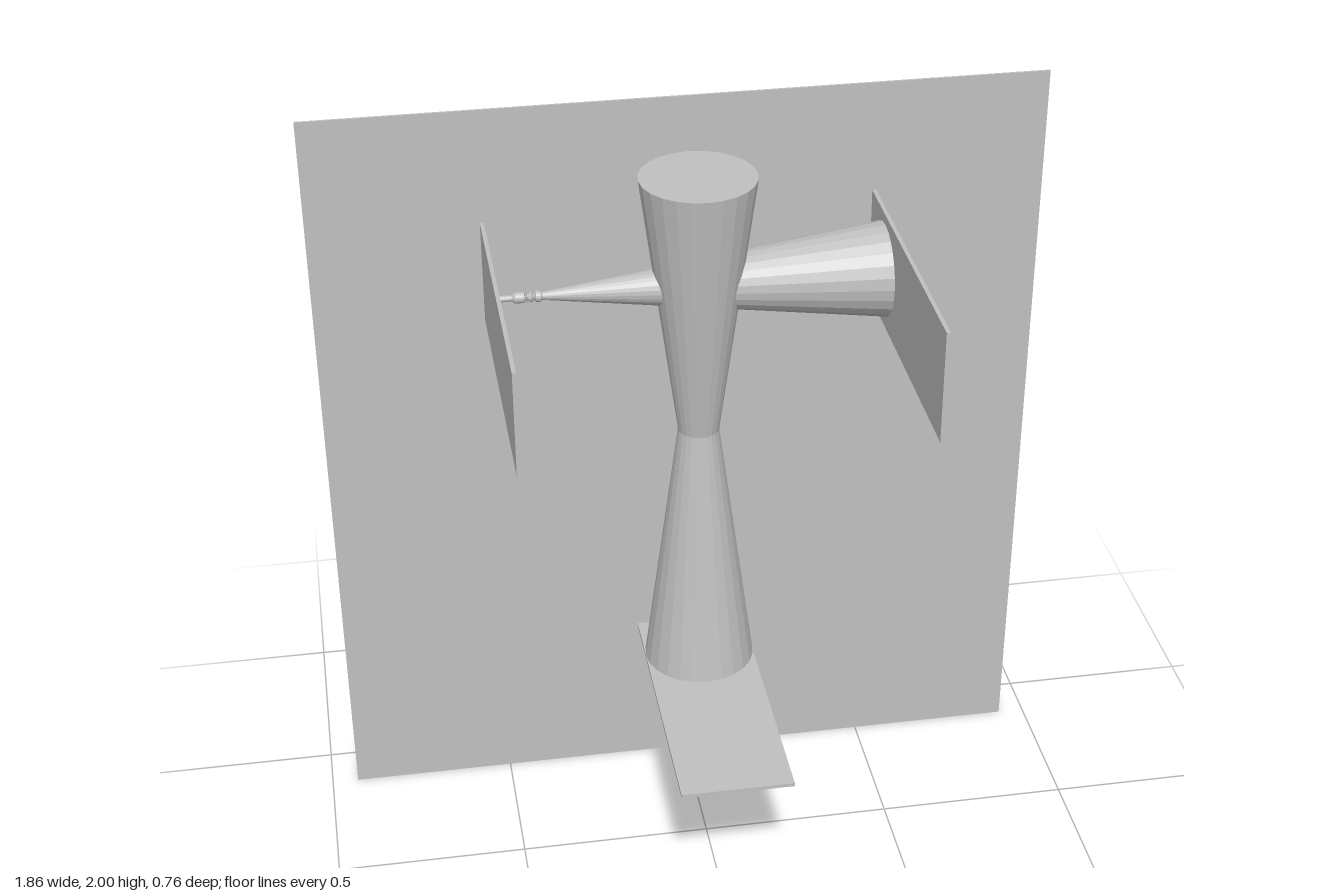
import * as THREE from 'three';

const SIDES = 24;

export function createModel() {
  const group = new THREE.Group();
  const grey = new THREE.MeshStandardMaterial({ color: 0xc0c0c0 });

  const add = (name, geometry, x, y, z) => {
    const mesh = new THREE.Mesh(geometry, grey);
    mesh.name = name;
    mesh.position.set(x, y, z);
    group.add(mesh);
    return mesh;
  };
  const plate = (name, w, h, d, x, y, z) => add(name, new THREE.BoxGeometry(w, h, d), x, y, z);

  // Faceted solid of revolution from [radius, height] pairs
  const turned = (points) => {
    const profile = points.map(([r, h]) => new THREE.Vector2(r, h));
    const geometry = new THREE.LatheGeometry(profile, SIDES).toNonIndexed();
    geometry.computeVertexNormals();
    return geometry;
  };

  // Thin plates: wall, shelf and two upright sides
  plate('backWall', 1.86, 2, 0.006, 0, 1, -0.377);
  plate('shelf', 0.29, 0.01, 0.755, 0.017, 0.44, 0.0025);
  plate('rightPlate', 0.01, 0.27, 0.755, -0.497, 1.565, 0.0025);
  plate('leftPlate', 0.01, 0.29, 0.755, 0.493, 1.565, 0.0025);

  // Hourglass column standing on the shelf
  add('hourglassColumn', turned([
    [0, 0.437], [0.147, 0.437], [0.053, 1.15], [0.147, 1.855], [0, 1.855],
  ]), 0.018, 0, -0.223);

  // Horizontal cone passing through the column
  const cone = add('crossCone', turned([
    [0, -0.385], [0.008, -0.385], [0.121, 0.49], [0, 0.49],
  ]), 0, 1.565, -0.225);
  cone.rotation.z = -Math.PI / 2;

  // Thin stem with three rounded beads at the cone's tip
  const tip = [[0, -0.495], [0.008, -0.495], [0.008, -0.45]];
  for (const x of [-0.426, -0.402, -0.38]) {
    const half = x < -0.42 ? 0.019 : 0.01;
    tip.push([0.008, x - half], [0.014, x - half * 0.6], [0.014, x + half * 0.6], [0.008, x + half]);
  }
  tip.sort((a, b) => a[1] - b[1]);
  tip.push([0, -0.37]);
  const stem = add('beadedTip', turned(tip), 0, 1.565, -0.225);
  stem.rotation.z = -Math.PI / 2;

  return group;
}
